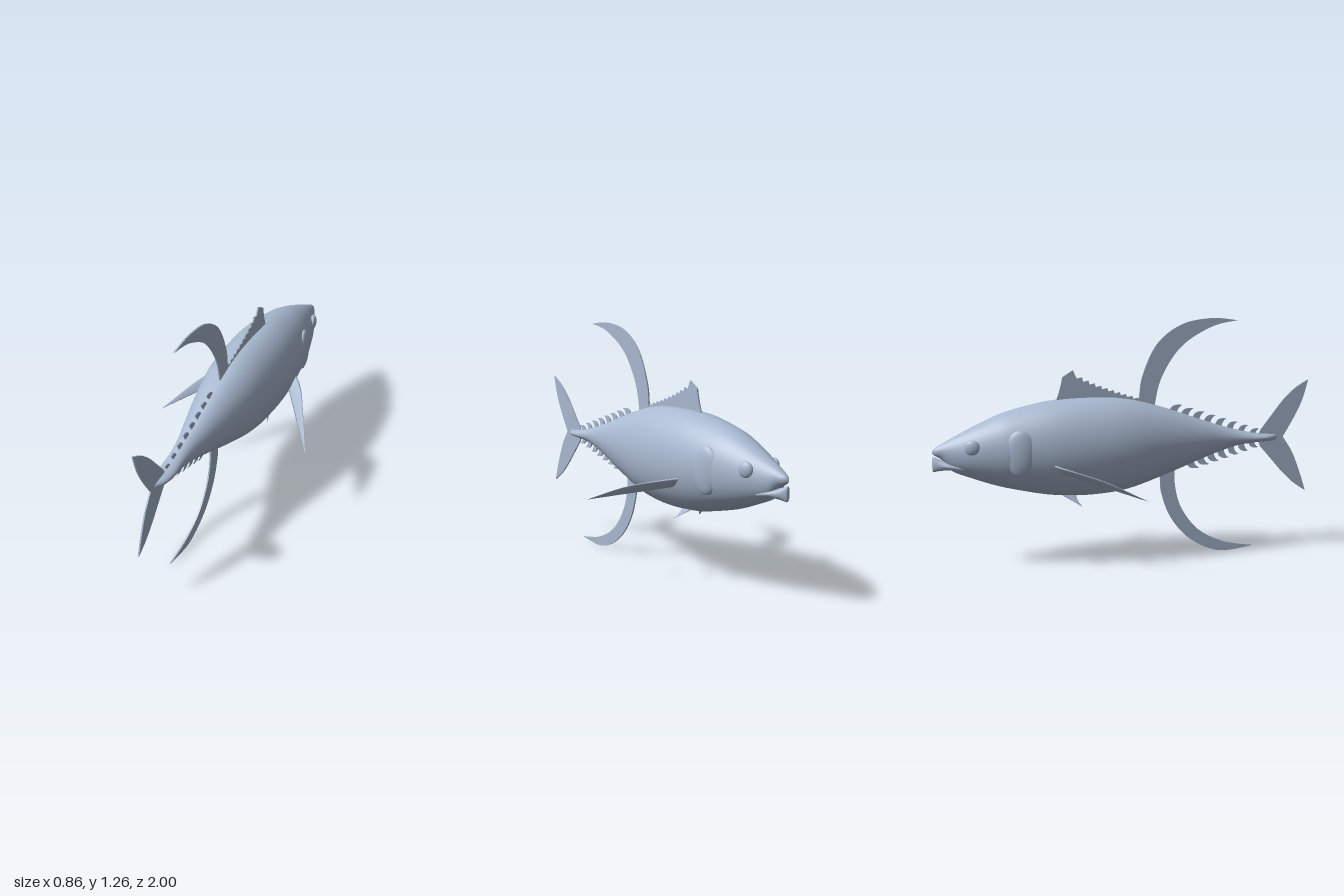
import * as THREE from 'three';

const skin = new THREE.MeshStandardMaterial({ color: 0xa9b9d0, side: THREE.DoubleSide });
skin.name = 'blue grey skin';

const V = (x, y, z) => new THREE.Vector3(x, y, z);

function add(parent, name, geometry) {
  const mesh = new THREE.Mesh(geometry, skin);
  mesh.name = name;
  parent.add(mesh);
  return mesh;
}

// Skin over a list of closed rings of points
function skinRings(rings) {
  const n = rings[0].length, index = [];
  for (let i = 0; i < rings.length - 1; i++) {
    for (let j = 0; j < n; j++) {
      const a = i * n + j, b = i * n + (j + 1) % n;
      index.push(a, b, a + n, b, b + n, a + n);
    }
  }
  const g = new THREE.BufferGeometry().setFromPoints(rings.flat());
  g.setIndex(index);
  g.computeVertexNormals();
  return g;
}

// Elliptical loft along z from sections [z, top, bottom, half width]
function loft(sections, steps, sides) {
  const heights = new THREE.CatmullRomCurve3(sections.map(s => V(s[0], s[1], s[2])), false, 'catmullrom');
  const widths = new THREE.CatmullRomCurve3(sections.map(s => V(s[0], s[3], 0)), false, 'catmullrom');
  const rings = [];
  for (let i = 0; i <= steps; i++) {
    const h = heights.getPoint(i / steps), w = Math.max(0, widths.getPoint(i / steps).y);
    rings.push(Array.from({ length: sides }, (_, j) => {
      const a = j / sides * Math.PI * 2;
      return V(w * Math.cos(a), (h.y + h.z) / 2 + (h.y - h.z) / 2 * Math.sin(a), h.x);
    }));
  }
  return skinRings(rings);
}

// Thin upright fin on the centre line, outlined in (z, y)
function fin(shape) {
  const g = new THREE.ExtrudeGeometry(shape, { depth: 0.008, bevelEnabled: false, curveSegments: 20 });
  g.rotateY(-Math.PI / 2);
  return g.translate(0.004, 0, 0);
}

const vec2 = pts => pts.map(p => new THREE.Vector2(p[0], p[1]));

// Outline made of smooth edges joined at sharp corners
function outline(...edges) {
  const shape = new THREE.Shape();
  shape.moveTo(...edges[0][0]);
  for (const e of edges) {
    if (e.length === 2) shape.lineTo(...e[1]);
    else shape.splineThru(vec2(e.slice(1)));
  }
  return shape;
}

// Lens-section paired fin between a leading and a trailing edge
function blade(lead, trail, thickness, side) {
  const a = new THREE.CatmullRomCurve3(lead.map(p => V(...p)));
  const b = new THREE.CatmullRomCurve3(trail.map(p => V(...p)));
  const rings = [];
  for (let i = 0; i <= 16; i++) {
    const t = i / 16, p = a.getPoint(t), q = b.getPoint(t);
    const chord = q.clone().sub(p);
    const up = a.getTangent(t).cross(a.getPoint(0).sub(b.getPoint(0))).normalize();
    const ring = [];
    for (let j = 0; j < 10; j++) {
      const ang = j / 10 * Math.PI * 2;
      const v = p.clone().addScaledVector(chord, 0.5 - 0.5 * Math.cos(ang));
      v.addScaledVector(up, Math.sin(ang) * thickness * (1 - t));
      v.x *= side;
      ring.push(v);
    }
    rings.push(ring);
  }
  return skinRings(rings);
}

export function createModel() {
  const fish = new THREE.Group();
  fish.name = 'fish';

  // Body, nose at -z
  const body = [
    [-1, 0.622, 0.61, 0], [-0.985, 0.638, 0.597, 0.018], [-0.95, 0.658, 0.575, 0.036],
    [-0.9, 0.685, 0.515, 0.06], [-0.8, 0.735, 0.473, 0.1], [-0.7, 0.78, 0.437, 0.131],
    [-0.6, 0.815, 0.409, 0.155], [-0.4, 0.857, 0.368, 0.182], [-0.2, 0.868, 0.357, 0.187],
    [0, 0.856, 0.377, 0.174], [0.2, 0.803, 0.44, 0.135], [0.4, 0.732, 0.515, 0.086],
    [0.5, 0.698, 0.55, 0.062], [0.6, 0.668, 0.58, 0.048], [0.7, 0.645, 0.593, 0.046],
    [0.77, 0.637, 0.597, 0.036], [0.82, 0.632, 0.6, 0.012], [0.835, 0.62, 0.612, 0],
  ];
  add(fish, 'body', loft(body, 85, 40));

  // Lower jaw, slightly open
  add(fish, 'lowerJaw', loft([
    [-1, 0.565, 0.545, 0], [-0.997, 0.592, 0.516, 0.012], [-0.96, 0.578, 0.519, 0.032],
    [-0.91, 0.565, 0.522, 0.052], [-0.85, 0.56, 0.51, 0.066],
  ], 20, 20));

  // First dorsal fin with a saw-toothed rear edge
  const dorsal = new THREE.Shape();
  dorsal.moveTo(0.08, 0.8);
  dorsal.lineTo(-0.36, 0.84);
  dorsal.lineTo(-0.36, 0.866);
  dorsal.quadraticCurveTo(-0.34, 0.92, -0.33, 0.978);
  dorsal.lineTo(-0.275, 1.012);
  const teeth = 10;
  for (let i = 0; i < teeth; i++) {
    const t = (i + 1) / teeth;
    const z = -0.26 + 0.33 * t, y = 0.995 - 0.145 * Math.pow(t, 0.7);
    dorsal.lineTo(z - 0.028, y + 0.002);
    dorsal.lineTo(z, y + 0.008);
  }
  add(fish, 'firstDorsalFin', fin(dorsal));

  // Long sickle fins
  add(fish, 'secondDorsalFin', fin(outline(
    [[0.16, 0.76], [0.07, 0.78]],
    [[0.07, 0.78], [0.073, 0.85], [0.092, 0.975], [0.17, 1.137], [0.3, 1.233], [0.46, 1.262], [0.6, 1.248]],
    [[0.6, 1.248], [0.46, 1.217], [0.3, 1.12], [0.195, 0.965], [0.157, 0.815], [0.16, 0.76]])));
  add(fish, 'analFin', fin(outline(
    [[0.27, 0.51], [0.185, 0.5]],
    [[0.185, 0.5], [0.187, 0.43], [0.197, 0.335], [0.25, 0.2], [0.355, 0.08], [0.515, 0.006], [0.71, 0.022]],
    [[0.71, 0.022], [0.54, 0.055], [0.4, 0.13], [0.305, 0.255], [0.268, 0.39], [0.27, 0.51]])));

  // Forked tail
  add(fish, 'tailFin', fin(outline(
    [[0.72, 0.615], [0.74, 0.66]],
    [[0.74, 0.66], [0.8, 0.738], [0.865, 0.82], [0.93, 0.88], [1, 0.922]],
    [[1, 0.922], [0.97, 0.815], [0.925, 0.72], [0.865, 0.617]],
    [[0.865, 0.617], [0.92, 0.53], [0.965, 0.42], [1, 0.313]],
    [[1, 0.313], [0.93, 0.362], [0.865, 0.425], [0.8, 0.5], [0.74, 0.57]])));

  // Rows of finlets
  function finlet(z, y, dir, size) {
    const s = new THREE.Shape();
    s.moveTo(z - 0.03 * size, y - dir * 0.03);
    s.quadraticCurveTo(z - 0.035 * size, y + dir * 0.045 * size, z + 0.042 * size, y + dir * 0.028 * size);
    s.quadraticCurveTo(z + 0.01 * size, y + dir * 0.015 * size, z + 0.008 * size, y - dir * 0.03);
    add(fish, dir > 0 ? 'upperFinlet' : 'lowerFinlet', fin(s));
  }
  for (let i = 0; i < 8; i++) {
    const z = 0.265 + i * 0.062;
    finlet(z, 0.782 - (z - 0.265) * 0.315, 1, 1 - i * 0.035);
  }
  for (let i = 0; i < 7; i++) {
    const z = 0.36 + i * 0.056;
    finlet(z, 0.498 + (z - 0.36) * 0.265, -1, 1 - i * 0.04);
  }

  // Paired parts
  for (const side of [1, -1]) {
    const name = side > 0 ? 'left' : 'right';
    add(fish, name + 'PectoralFin', blade(
      [[0.16, 0.56, -0.42], [0.235, 0.54, -0.33], [0.325, 0.495, -0.17], [0.428, 0.408, 0.027]],
      [[0.145, 0.505, -0.36], [0.21, 0.482, -0.27], [0.305, 0.45, -0.14], [0.428, 0.408, 0.027]], 0.009, side));
    add(fish, name + 'PelvicFin', blade(
      [[0.04, 0.385, -0.37], [0.06, 0.35, -0.31], [0.085, 0.31, -0.243]],
      [[0.035, 0.385, -0.26], [0.055, 0.355, -0.27], [0.085, 0.31, -0.243]], 0.005, side));

    const eye = add(fish, name + 'Eye', new THREE.SphereGeometry(0.04, 24, 16));
    eye.scale.x = 0.5;
    eye.position.set(side * 0.09, 0.648, -0.805);
    eye.rotation.y = side * 0.3;

    const gill = add(fish, name + 'GillCover', new THREE.SphereGeometry(1, 32, 20));
    gill.scale.set(0.03, 0.12, 0.08);
    gill.position.set(side * 0.137, 0.615, -0.57);
    gill.rotation.y = side * 0.2;
  }
  return fish;
}
